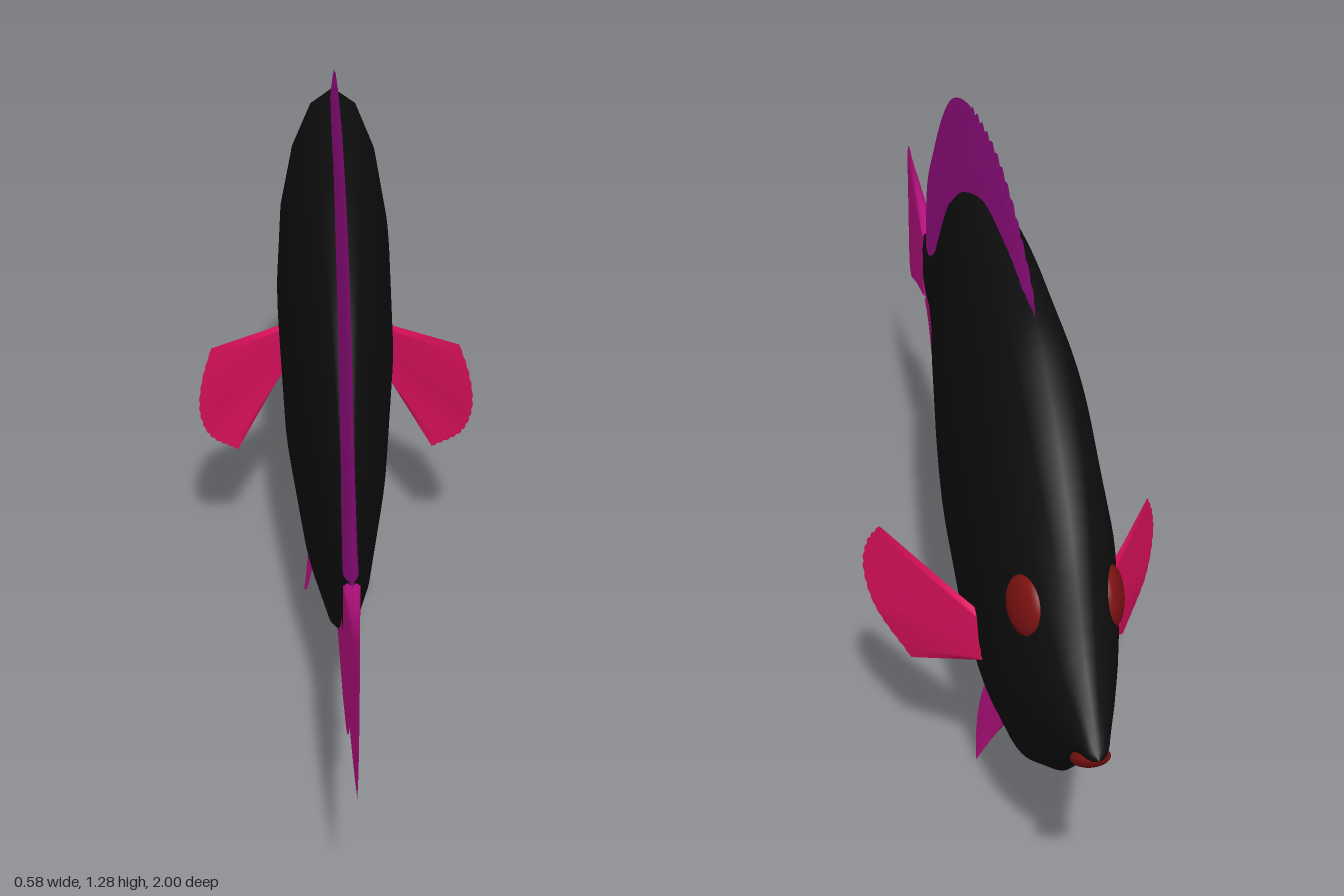
import * as THREE from 'three';

const paint = (name, color, side = THREE.FrontSide) => {
  const m = new THREE.MeshStandardMaterial({ color, side });
  m.name = name;
  return m;
};

const curve = (pts) => new THREE.CatmullRomCurve3(pts.map((p) => new THREE.Vector3(...p)));

// index pattern for a grid of rows x cols vertices
function gridIndex(rows, cols, offset = 0, flip = false) {
  const index = [];
  for (let i = 0; i < rows - 1; i++) {
    for (let j = 0; j < cols - 1; j++) {
      const a = offset + i * cols + j, b = a + 1, c = a + cols, d = c + 1;
      if (flip) index.push(a, c, b, b, c, d);
      else index.push(a, b, c, b, d, c);
    }
  }
  return index;
}

function surface(positions, index) {
  const g = new THREE.BufferGeometry();
  g.setAttribute('position', new THREE.Float32BufferAttribute(positions, 3));
  g.setIndex(index);
  g.computeVertexNormals();
  return g;
}

// body: oval rings lofted along z, each station is [z, top, bottom, halfWidth]
function bodyGeometry() {
  const stations = [
    [-1, 0.592, 0.588, 0.002], [-0.985, 0.607, 0.577, 0.018], [-0.94, 0.65, 0.548, 0.034],
    [-0.876, 0.718, 0.495, 0.055], [-0.769, 0.878, 0.386, 0.086], [-0.66, 0.99, 0.3, 0.11],
    [-0.554, 1.07, 0.236, 0.118], [-0.447, 1.13, 0.193, 0.12], [-0.313, 1.162, 0.171, 0.119],
    [-0.153, 1.168, 0.166, 0.114], [-0.02, 1.157, 0.171, 0.103], [0.115, 1.114, 0.212, 0.088],
    [0.25, 1.05, 0.273, 0.07], [0.356, 0.97, 0.348, 0.053], [0.463, 0.862, 0.439, 0.037],
    [0.54, 0.782, 0.511, 0.027], [0.624, 0.739, 0.55, 0.019], [0.704, 0.738, 0.552, 0.014],
    [0.725, 0.725, 0.565, 0.011], [0.732, 0.65, 0.64, 0.001],
  ];
  const outline = curve(stations.map(([z, top, bottom]) => [z, top, bottom]));
  const width = curve(stations.map(([z, , , w]) => [z, w, 0]));
  const rows = 77, sides = 16, pos = [];
  for (let i = 0; i < rows; i++) {
    const t = i / (rows - 1);
    const { x: z, y: top, z: bottom } = outline.getPoint(t);
    const w = Math.max(width.getPoint(t).y, 0.001);
    for (let j = 0; j < sides; j++) {
      const a = (j / sides) * Math.PI * 2;
      pos.push(Math.sin(a) * w, (top + bottom) / 2 + (Math.cos(a) * (top - bottom)) / 2, z);
    }
  }
  const index = [];
  for (let i = 0; i < rows - 1; i++) {
    for (let j = 0; j < sides; j++) {
      const k = (j + 1) % sides;
      const a = i * sides + j, b = i * sides + k, c = a + sides, d = b + sides;
      index.push(a, c, b, b, c, d);
    }
  }
  return surface(pos, index);
}

// fin: a wedge from a thick root line to a thin outer edge, optionally scalloped
function finGeometry({ root, edge, thick, normal = [1, 0, 0], mirror = 1, steps = 32, teeth = 0, from = 0, to = 1, depth = 0.012 }) {
  const rootCurve = curve(root), edgeCurve = curve(edge);
  const n = new THREE.Vector3(...normal).normalize();
  const across = 8, pos = [];
  for (const side of [1, -1]) {
    for (let i = 0; i <= steps; i++) {
      const u = i / steps;
      const a = rootCurve.getPointAt(u), b = edgeCurve.getPointAt(u);
      if (teeth && u > from && u < to) {
        const bump = Math.abs(Math.sin(((u - from) / (to - from)) * teeth * Math.PI)) - 0.6;
        b.addScaledVector(b.clone().sub(a).normalize(), depth * bump);
      }
      const ends = Math.min(1, u / 0.06, (1 - u) / 0.06);
      for (let j = 0; j <= across; j++) {
        const v = j / across;
        const p = a.clone().lerp(b, v);
        p.addScaledVector(n, side * thick * ends * Math.pow(1 - v, 0.8));
        pos.push(p.x * mirror, p.y, p.z);
      }
    }
  }
  const rows = steps + 1, cols = across + 1;
  return surface(pos, [
    ...gridIndex(rows, cols, 0, mirror < 0),
    ...gridIndex(rows, cols, rows * cols, mirror > 0),
  ]);
}

export function createModel() {
  const fish = new THREE.Group();
  fish.name = 'fish';
  const black = paint('bodyBlack', 0x0e0e0e);
  const red = paint('darkRed', 0x7c1212);
  const purple = paint('dorsalPurple', 0x9c0f88, THREE.DoubleSide);
  const magenta = paint('finMagenta', 0xc01286, THREE.DoubleSide);
  const ruby = paint('pectoralRuby', 0xe0115f, THREE.DoubleSide);

  const add = (name, geometry, material) => {
    const mesh = new THREE.Mesh(geometry, material);
    mesh.name = name;
    fish.add(mesh);
    return mesh;
  };
  const flat = (pts) => pts.map(([z, y]) => [0, y, z]);

  add('body', bodyGeometry(), black);

  // fins on the centre line, drawn as [z, y]
  add('dorsalFin', finGeometry({
    root: flat([[0.73, 0.735], [0.62, 0.71], [0.5, 0.77], [0.35, 0.91], [0.15, 1.04], [-0.1, 1.1], [-0.3, 1.1], [-0.42, 1.08]]),
    edge: flat([[0.735, 0.745], [0.715, 0.84], [0.624, 0.96], [0.517, 1.08], [0.41, 1.168], [0.303, 1.22], [0.169, 1.258],
      [0.06, 1.272], [-0.07, 1.278], [-0.18, 1.265], [-0.313, 1.226], [-0.437, 1.157], [-0.45, 1.12]]),
    thick: 0.014, steps: 208, teeth: 13, from: 0.54, to: 0.98,
  }), purple);

  add('analFin', finGeometry({
    root: flat([[0.73, 0.56], [0.62, 0.575], [0.5, 0.54], [0.35, 0.4], [0.22, 0.31], [0.12, 0.26]]),
    edge: flat([[0.735, 0.545], [0.678, 0.412], [0.57, 0.279], [0.463, 0.193], [0.356, 0.145], [0.276, 0.13], [0.169, 0.148], [0.131, 0.225]]),
    thick: 0.014, steps: 128, teeth: 5, from: 0.68, to: 0.92,
  }), magenta);

  add('tailFin', finGeometry({
    root: flat([[0.7, 0.73], [0.7, 0.56]]),
    edge: flat([[0.972, 0.814], [0.993, 0.795], [0.999, 0.645], [0.993, 0.495], [0.972, 0.476]]),
    thick: 0.015,
  }), magenta);

  for (const [side, s] of [['left', 1], ['right', -1]]) {
    add(side + 'PectoralFin', finGeometry({
      root: [[0.1, 0.545, -0.5], [0.1, 0.445, -0.5]],
      edge: [[0.26, 0.617, -0.276], [0.279, 0.565, -0.243], [0.287, 0.5, -0.229], [0.27, 0.42, -0.252], [0.21, 0.335, -0.32]],
      normal: [0.83, 0, -0.56], thick: 0.009, mirror: s, steps: 64, teeth: 14, depth: 0.004,
    }), ruby);

    add(side + 'PelvicFin', finGeometry({
      root: [[0.033, 0.2, -0.375], [0.033, 0.22, -0.32]],
      edge: [[0.071, 0.006, -0.25], [0.064, 0.04, -0.212], [0.054, 0.1, -0.193], [0.043, 0.145, -0.192], [0.037, 0.17, -0.215]],
      normal: [0.97, 0.24, 0], thick: 0.01, mirror: s,
    }), magenta);

    // flattened eye lying on the cheek
    const eye = add(side + 'Eye', new THREE.SphereGeometry(1, 24, 16), red);
    eye.scale.set(0.021, 0.055, 0.055);
    eye.position.set(0.076 * s, 0.742, -0.75);
    eye.rotation.set(0, 0.32 * s, 0.15 * s);
  }

  // lip under the snout
  const mouth = add('mouth', new THREE.SphereGeometry(1, 24, 16), red);
  mouth.scale.set(0.034, 0.018, 0.056);
  mouth.position.set(0, 0.55, -0.938);
  mouth.rotation.x = 0.63;

  return fish;
}
